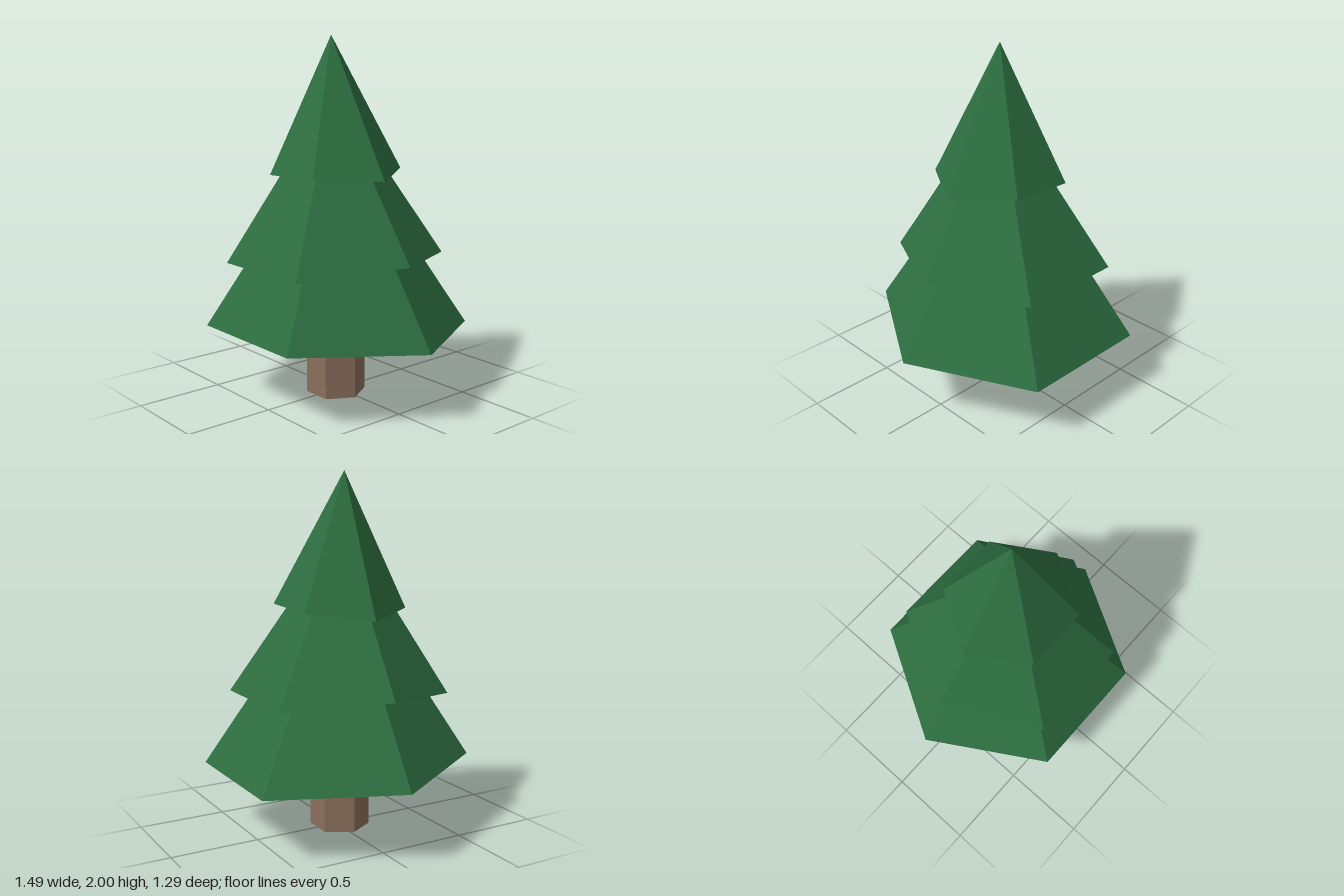
import * as THREE from 'three';

const leafMaterial = new THREE.MeshStandardMaterial({ color: 0x2d6e40, flatShading: true });
const barkMaterial = new THREE.MeshStandardMaterial({
  color: 0x8b6f5c, flatShading: true, side: THREE.DoubleSide,
});

// A closed six-sided cone from an apex and a slightly uneven ring of corners
// (listed from +x round through the front to -x and the back).
function makeTier(name, apex, ring) {
  const centre = [0, 1, 2].map((k) => ring.reduce((sum, p) => sum + p[k], 0) / ring.length);
  const positions = [];
  ring.forEach((a, i) => {
    const b = ring[(i + 1) % ring.length];
    positions.push(...apex, ...b, ...a); // sloping side
    positions.push(...centre, ...a, ...b); // underside
  });
  const geometry = new THREE.BufferGeometry();
  geometry.setAttribute('position', new THREE.Float32BufferAttribute(positions, 3));
  geometry.computeVertexNormals();
  const mesh = new THREE.Mesh(geometry, leafMaterial);
  mesh.name = name;
  return mesh;
}

export function createModel() {
  const tree = new THREE.Group();
  tree.name = 'tree';

  // Hexagonal trunk, open at both ends
  const trunk = new THREE.Mesh(
    new THREE.CylinderGeometry(0.167, 0.167, 0.41, 6, 1, true, Math.PI / 6 + Math.PI / 3),
    barkMaterial,
  );
  trunk.name = 'trunk';
  trunk.position.set(0, 0.205, 0.02);
  tree.add(trunk);

  // Three overlapping layers of foliage, each a little crooked
  tree.add(makeTier('lowerFoliage', [0, 1.52, 0.03], [
    [0.74, 0.395, 0.01], [0.365, 0.42, 0.645], [-0.365, 0.42, 0.645],
    [-0.745, 0.395, 0.01], [-0.38, 0.365, -0.645], [0.38, 0.365, -0.645],
  ]));
  tree.add(makeTier('middleFoliage', [0, 1.71, 0.04], [
    [0.58, 0.82, 0.01], [0.31, 0.77, 0.545], [-0.305, 0.77, 0.545],
    [-0.58, 0.83, 0.015], [-0.31, 0.785, -0.515], [0.305, 0.785, -0.515],
  ]));
  tree.add(makeTier('upperFoliage', [-0.015, 2, 0.04], [
    [0.39, 1.243, 0.015], [0.195, 1.26, 0.34], [-0.175, 1.252, 0.34],
    [-0.38, 1.223, 0.02], [-0.18, 1.262, -0.295], [0.185, 1.275, -0.295],
  ]));

  return tree;
}
